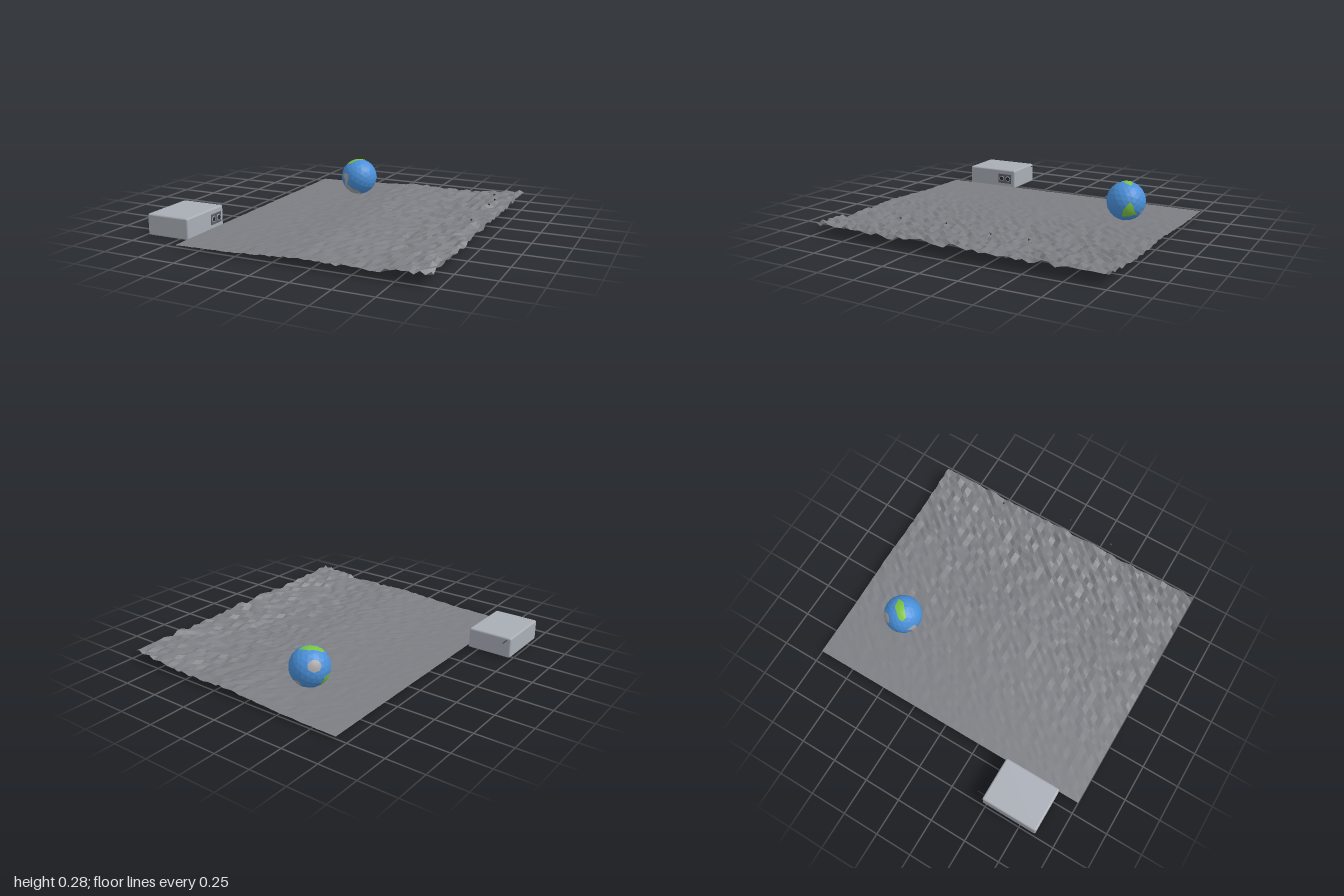
import * as THREE from 'three';
import { RoundedBoxGeometry } from 'three/addons/geometries/RoundedBoxGeometry.js';

const mat = (name, color, opts = {}) => new THREE.MeshStandardMaterial({ name, color, ...opts });
const materials = {
  ground: mat('rock grey', 0x7c7e83, { side: THREE.DoubleSide }),
  casing: mat('casing grey', 0xa9aeb6),
  ocean: mat('ocean blue', 0x4a90d9),
  forest: mat('forest green', 0x7bc242),
  barren: mat('barren grey', 0xa5a5a5),
  dark: mat('dark metal', 0x2b2d31),
  panel: mat('panel grey', 0x5c6067),
};

function add(parent, name, geometry, material, x = 0, y = 0, z = 0) {
  const mesh = new THREE.Mesh(geometry, material);
  mesh.name = name;
  mesh.position.set(x, y, z);
  parent.add(mesh);
  return mesh;
}

function seeded(seed) {
  return () => {
    seed = (seed * 1664525 + 1013904223) % 4294967296;
    return seed / 4294967296;
  };
}

// Faceted ground sheet that rises and roughens toward +x
function groundGeometry() {
  const random = seeded(7);
  const profile = [0.014, 0.017, 0.021, 0.033, 0.047, 0.042, 0.037, 0.057, 0.069];
  const geo = new THREE.PlaneGeometry(1.63, 2, 50, 50).rotateX(-Math.PI / 2).translate(0.14, 0, 0);
  const p = geo.attributes.position;
  for (let i = 0; i < p.count; i++) {
    const t = THREE.MathUtils.clamp((p.getX(i) + 0.675) / 1.63, 0, 1);
    const k = Math.min(7, Math.floor(t * 8));
    const base = THREE.MathUtils.lerp(profile[k], profile[k + 1], t * 8 - k);
    const swell = 0.004 * t * Math.sin(p.getZ(i) * 7 + 1);
    const rough = (random() - 0.5) * (0.002 + 0.03 * t ** 1.5);
    p.setY(i, base + swell + rough);
  }
  const flat = geo.toNonIndexed();
  flat.computeVertexNormals();
  return flat;
}

// Curved land patch: an outline in the xy plane wrapped onto the sphere's +z side
function landGeometry(outline, radius) {
  const pts = outline.map(([x, y]) => new THREE.Vector2(x, y));
  if (THREE.ShapeUtils.area(pts) < 0) pts.reverse();
  const centre = pts.reduce((s, q) => s.add(q), new THREE.Vector2()).divideScalar(pts.length);
  const edge = [];
  pts.forEach((q, i) => {
    for (let k = 0; k < 3; k++) edge.push(q.clone().lerp(pts[(i + 1) % pts.length], k / 3));
  });
  const rings = 4, n = edge.length, positions = [], index = [];
  for (let r = 0; r <= rings; r++) {
    for (const e of edge) {
      const q = centre.clone().lerp(e, r / rings);
      const z = Math.sqrt(Math.max(0, 1 - q.lengthSq()));
      positions.push(q.x * radius, q.y * radius, z * radius);
    }
  }
  for (let r = 0; r < rings; r++) {
    for (let i = 0; i < n; i++) {
      const j = (i + 1) % n, a = r * n + i, b = r * n + j, c = a + n, d = b + n;
      index.push(a, c, d);
      if (r > 0) index.push(a, d, b);
    }
  }
  const geo = new THREE.BufferGeometry();
  geo.setAttribute('position', new THREE.Float32BufferAttribute(positions, 3));
  geo.setIndex(index);
  geo.computeVertexNormals();
  return geo;
}

function createGlobe() {
  const globe = new THREE.Group();
  globe.name = 'globe';
  globe.position.set(-0.2, 0.153, -0.632);
  const sphere = new THREE.IcosahedronGeometry(0.13, 3);
  sphere.computeVertexNormals();
  add(globe, 'ocean', sphere, materials.ocean);

  // Each patch: name, material, pitch, yaw, outline
  const h = Math.PI / 2;
  const disc = [];
  for (let i = 0; i < 7; i++) {
    const a = (i / 7) * Math.PI * 2;
    disc.push([0.34 * Math.cos(a), 0.3 * Math.sin(a)]);
  }
  const patches = [
    ['frontLandUpper', materials.barren, 0, 0,
      [[-0.68, 0.2], [-0.5, 0.3], [-0.28, 0.3], [-0.22, 0.05], [-0.33, -0.3], [-0.55, -0.42], [-0.5, -0.05]]],
    ['frontLandLower', materials.barren, 0, 0,
      [[-0.58, -0.38], [-0.33, -0.28], [-0.05, -0.55], [0.25, -0.65], [0.33, -0.85], [0, -0.96], [-0.35, -0.8]]],
    ['sideLand', materials.forest, 0, -h,
      [[-0.1, -0.2], [-0.2, -0.6], [0, -0.8], [0.3, -0.65], [0.4, -0.4], [0.2, -0.15]]],
    ['eastLand', materials.forest, 0, h,
      [[0.53, 0.2], [0.66, 0], [0.74, -0.5], [0.4, -0.6], [0.1, -0.62], [0.22, -0.25]]],
    ['topLand', materials.forest, -h, 0,
      [[-0.57, -0.2], [-0.16, 0.28], [0.33, 0.37], [0.28, 0.04], [-0.33, -0.5], [-0.57, -0.4]]],
    ['backLandUpper', materials.barren, -0.44, Math.atan2(-0.73, -0.53), disc],
    ['backLandLower', materials.barren, 0, Math.PI,
      [[-0.25, -0.4], [0.1, -0.35], [0.15, -0.6], [-0.2, -0.65]]],
  ];
  for (const [name, material, pitch, yaw, outline] of patches) {
    add(globe, name, landGeometry(outline, 0.1312), material).rotation.set(pitch, yaw, 0, 'YXZ');
  }
  return globe;
}

function createDevice() {
  const device = new THREE.Group();
  device.name = 'device';
  device.position.set(-0.833, 0.07, 0.665);
  add(device, 'casing', new RoundedBoxGeometry(0.305, 0.14, 0.39, 2, 0.012), materials.casing);

  // Side panel with two round ports
  add(device, 'portPanel', new THREE.BoxGeometry(0.006, 0.07, 0.11), materials.panel, 0.153, 0, -0.11);
  for (const z of [-0.137, -0.083]) {
    const ring = new THREE.TorusGeometry(0.018, 0.003, 6, 16).rotateY(Math.PI / 2);
    add(device, 'portRim', ring, materials.casing, 0.156, 0, z);
    const port = new THREE.CylinderGeometry(0.017, 0.017, 0.006, 16).rotateZ(Math.PI / 2);
    add(device, 'port', port, materials.dark, 0.155, 0, z);
  }

  // Thin rod out of the back
  const rod = new THREE.CylinderGeometry(0.003, 0.003, 0.05, 8).rotateX(Math.PI / 2);
  add(device, 'rod', rod, materials.dark, -0.121, 0.052, -0.22);
  return device;
}

export function createModel() {
  const model = new THREE.Group();
  model.name = 'globeOnGround';
  add(model, 'ground', groundGeometry(), materials.ground);
  model.add(createGlobe(), createDevice());

  // Small chips hovering past the rough edge
  const chips = [[0.875, 0.16, -0.48], [0.935, 0.18, -0.27], [0.973, 0.215, 0], [0.96, 0.198, 0.33]];
  chips.forEach(([x, y, z], i) => {
    const chip = add(model, 'chip', new THREE.TetrahedronGeometry(0.009), materials.dark, x, y, z);
    chip.rotation.set(i, i * 2, 0.5);
  });
  return model;
}
